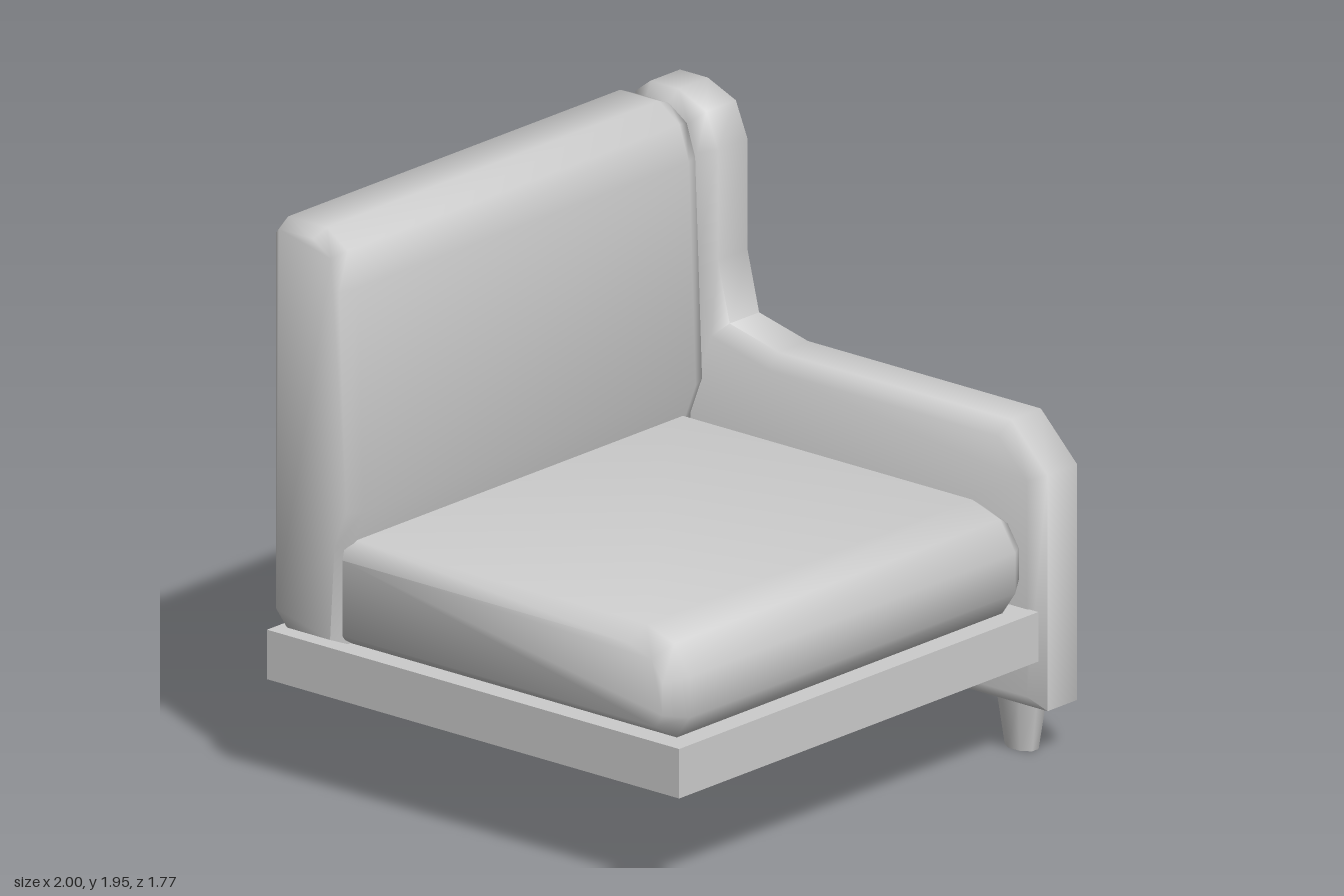
import * as THREE from 'three';
import { toCreasedNormals } from 'three/addons/utils/BufferGeometryUtils.js';

const material = new THREE.MeshStandardMaterial({ color: 0xcccccc });

function addMesh(parent, name, geometry) {
  const mesh = new THREE.Mesh(geometry, material);
  mesh.name = name;
  parent.add(mesh);
  return mesh;
}

// Padded slab: a [z, y] side profile run from x0 to x1, with one chamfer at each end
function slab(profile, x0, x1, bevelThickness, bevelSize) {
  const shape = new THREE.Shape(profile.map(([z, y]) => new THREE.Vector2(-z, y)));
  const geometry = new THREE.ExtrudeGeometry(shape, {
    depth: x1 - x0 - 2 * bevelThickness,
    bevelThickness, bevelSize, bevelOffset: -bevelSize, bevelSegments: 1,
  });
  geometry.rotateY(Math.PI / 2).translate(x0 + bevelThickness, 0, 0);
  return toCreasedNormals(geometry, 1.25);
}

export function createModel() {
  const sofa = new THREE.Group();
  sofa.name = 'oneArmSofa';

  // Flat platform under the cushions
  const base = addMesh(sofa, 'base', new THREE.BoxGeometry(1.77, 0.17, 1.77));
  base.position.set(-0.115, 0.445, -0.005);

  // Seat cushion with a rolled front edge
  addMesh(sofa, 'seatCushion', slab([
    [-0.62, 0.53], [0.8, 0.53], [0.855, 0.61], [0.855, 0.75],
    [0.79, 0.85], [0.67, 0.89], [-0.62, 0.89],
  ], -0.995, 0.76, 0.075, 0.05));

  // Back cushion, rounded at the top front and tucked in behind the seat
  addMesh(sofa, 'backCushion', slab([
    [-0.82, 0.53], [-0.6, 0.53], [-0.58, 0.87], [-0.53, 1.0], [-0.56, 1.76],
    [-0.6, 1.88], [-0.69, 1.94], [-0.855, 1.94], [-0.88, 1.91], [-0.88, 0.6],
  ], -0.995, 0.76, 0.06, 0.025));

  // Side panel: low arm rising into a tall wing
  addMesh(sofa, 'arm', slab([
    [-0.885, 0.18], [0.885, 0.18], [0.885, 0.99], [0.73, 1.145], [-0.27, 1.145],
    [-0.48, 1.195], [-0.53, 1.4], [-0.53, 1.78], [-0.58, 1.9], [-0.7, 1.95],
    [-0.82, 1.95], [-0.885, 1.9],
  ], 0.765, 1, 0.045, 0.05));

  // Tapered feet under the side panel
  for (const [name, z] of [['frontLeg', 0.71], ['backLeg', -0.71]]) {
    const geometry = new THREE.CylinderGeometry(0.098, 0.064, 0.2, 8);
    geometry.rotateY(Math.PI / 8).scale(0.65, 1, 1);
    addMesh(sofa, name, geometry).position.set(0.883, 0.1, z);
  }
  return sofa;
}
